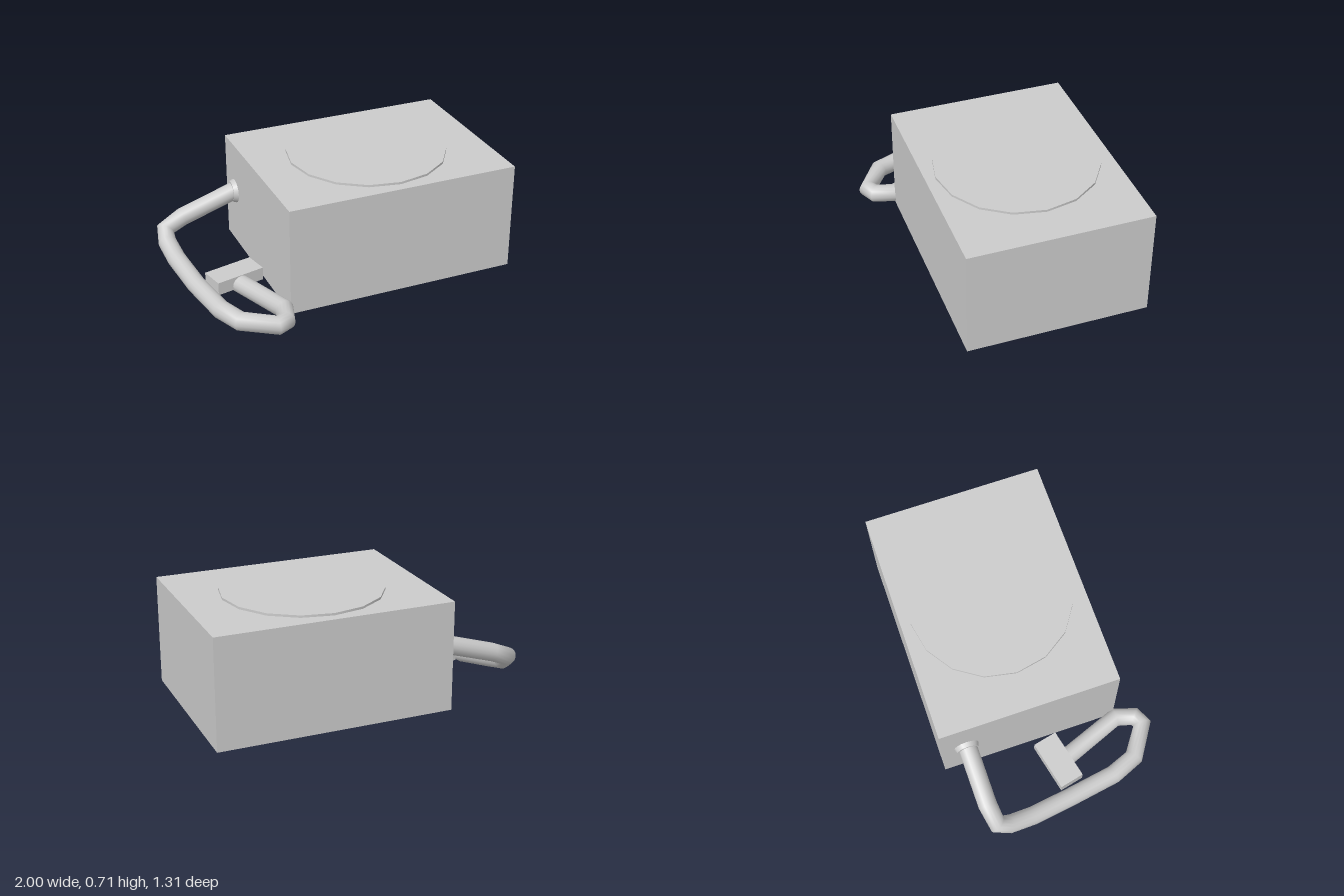
import * as THREE from 'three';

// Curve that visits each point exactly, with mitred tangents at the bends
class PolylineCurve extends THREE.Curve {
  constructor(points) {
    super();
    this.points = points;
  }
  getPoint(t, target = new THREE.Vector3()) {
    const last = this.points.length - 1;
    const i = Math.min(Math.floor(t * last + 1e-6), last - 1);
    return target.lerpVectors(this.points[i], this.points[i + 1], t * last - i);
  }
  getPointAt(u, target) {
    return this.getPoint(u, target);
  }
  getTangentAt(u, target = new THREE.Vector3()) {
    const p = this.points, last = p.length - 1;
    const i = Math.round(u * last);
    const a = p[Math.max(i - 1, 0)], b = p[i], c = p[Math.min(i + 1, last)];
    const before = b.clone().sub(a).normalize();
    const after = c.clone().sub(b).normalize();
    return target.copy(before).add(after).normalize();
  }
}

export function createModel() {
  const group = new THREE.Group();
  const grey = new THREE.MeshStandardMaterial({ color: 0xcccccc });

  function add(name, geometry, x = 0, y = 0, z = 0) {
    const mesh = new THREE.Mesh(geometry, grey);
    mesh.name = name;
    mesh.position.set(x, y, z);
    group.add(mesh);
    return mesh;
  }

  // Housing with a thin round plate on top
  add('body', new THREE.BoxGeometry(1.455, 0.68, 1.11), 0.2725, 0.355, -0.105);
  add('topPlate', new THREE.CylinderGeometry(0.495, 0.495, 0.02, 16), 0.27, 0.699, -0.105);

  // Collar where the cable leaves the side
  const collar = add('cableCollar', new THREE.CylinderGeometry(0.066, 0.077, 0.03, 16), -0.468, 0.375, -0.505);
  collar.rotation.z = Math.PI / 2;

  // Cable drops from the collar, runs forward and loops back to the plug
  const path = [
    [-0.46, 0.378, -0.502], [-0.81, 0.268, -0.496], [-0.93, 0.215, -0.475],
    [-0.943, 0.162, -0.4], [-0.932, 0.122, -0.25], [-0.888, 0.067, 0.0],
    [-0.838, 0.06, 0.31], [-0.775, 0.06, 0.47], [-0.59, 0.06, 0.595],
    [-0.53, 0.06, 0.565], [-0.496, 0.06, 0.45], [-0.645, 0.06, 0.06],
  ].map((p) => new THREE.Vector3(...p));
  add('cable', new THREE.TubeGeometry(new PolylineCurve(path), path.length - 1, 0.057, 16));

  // Plug lying beside the body
  const plug = add('plug', new THREE.BoxGeometry(0.315, 0.082, 0.153), -0.652, 0.079, 0.014);
  plug.rotation.y = 0.22;

  return group;
}
